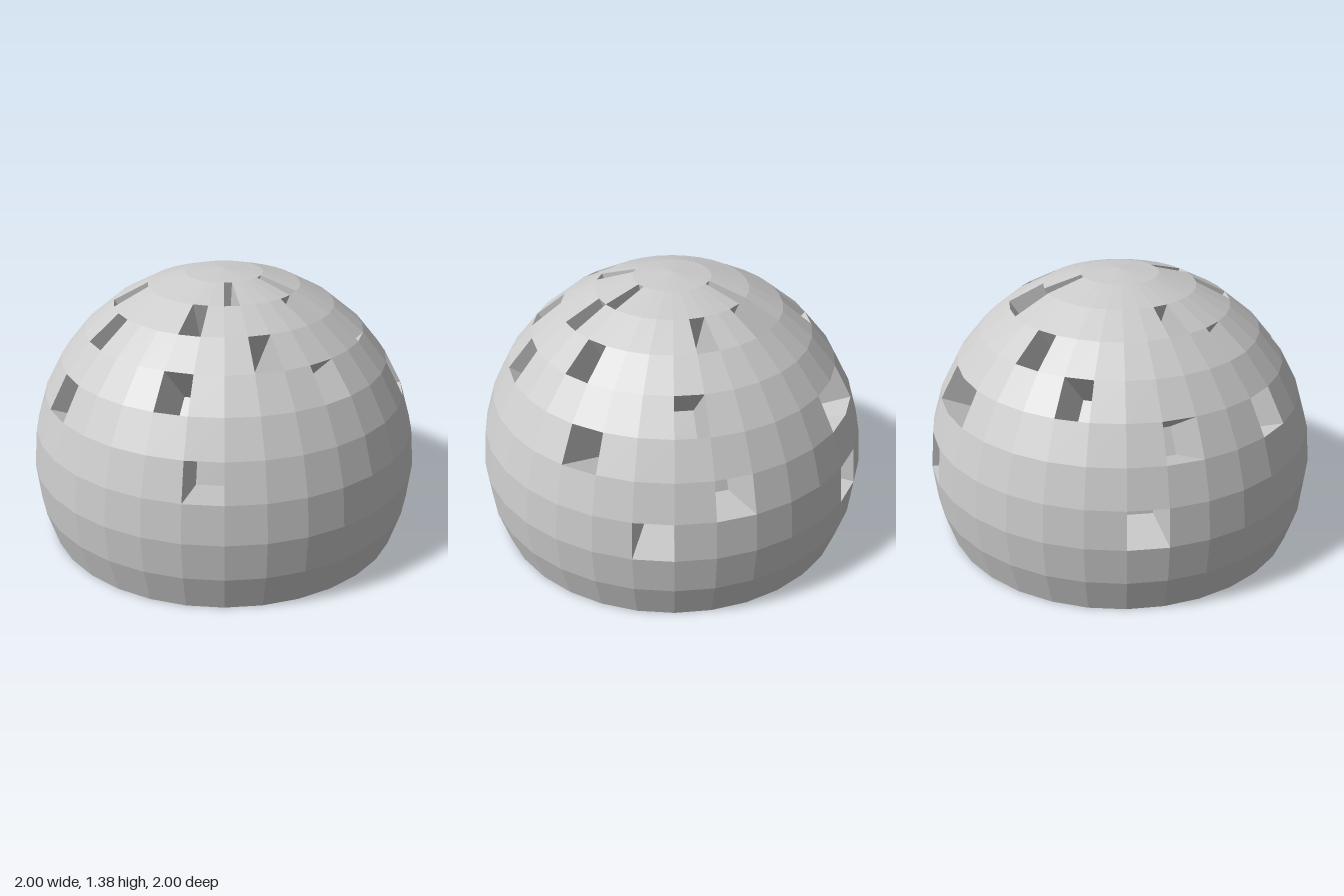
import * as THREE from 'three';

const STEP = Math.PI / 16;   // 32 columns around, 16 rings pole to pole
const COLUMNS = 32;
const RINGS = 10;            // the sphere is cut off below the tenth ring
const CENTRE_Y = Math.cos(6 * STEP);
const DEPTH_SCALE = 0.7;     // recess floors lie at 70% of the radius

// Recessed columns in each ring, counted from the front towards +x
const RECESSES = {
  1: [2, 7, 17],
  2: [0, 6, 13, 16, 17, 26],
  3: [3, 8, 20, 28],
  4: [0, 5, 12, 22],
  5: [9, 17, 18, 25, 28],
  6: [1, 13],
  7: [11, 17, 24],
};

const isRecessed = (ring, col) =>
  (RECESSES[ring] || []).includes((col + COLUMNS) % COLUMNS);

// Grid point on a sphere of the given radius
function point(ring, col, radius = 1) {
  const r = Math.sin(ring * STEP) * radius;
  return [
    r * Math.sin(col * STEP),
    CENTRE_Y + Math.cos(ring * STEP) * radius,
    r * Math.cos(col * STEP),
  ];
}

function addQuad(out, a, b, c, d) {
  out.push(...a, ...b, ...c, ...a, ...c, ...d);
}

function makeMesh(name, positions, material) {
  const geometry = new THREE.BufferGeometry();
  geometry.setAttribute('position', new THREE.Float32BufferAttribute(positions, 3));
  geometry.computeVertexNormals();
  const mesh = new THREE.Mesh(geometry, material);
  mesh.name = name;
  return mesh;
}

export function createModel() {
  const material = new THREE.MeshStandardMaterial({
    color: 0xcccccc, flatShading: true, side: THREE.DoubleSide,
  });
  const shell = [], floors = [], walls = [];

  for (let ring = 0; ring < RINGS; ring++) {
    for (let col = 0; col < COLUMNS; col++) {
      // Corners counter-clockwise from outside
      const corners = [[ring + 1, col], [ring + 1, col + 1], [ring, col + 1], [ring, col]];
      const outer = corners.map(([r, c]) => point(r, c));

      // Triangular fan at the crown
      if (ring === 0) {
        shell.push(...outer[0], ...outer[1], ...outer[2]);
        continue;
      }
      if (!isRecessed(ring, col)) {
        addQuad(shell, ...outer);
        continue;
      }

      // Sunken panel, with walls where the neighbour is not sunken too
      const inner = corners.map(([r, c]) => point(r, c, DEPTH_SCALE));
      addQuad(floors, ...inner);
      const neighbours = [[ring + 1, col], [ring, col + 1], [ring - 1, col], [ring, col - 1]];
      neighbours.forEach(([r, c], i) => {
        const n = (i + 1) % 4;
        if (!isRecessed(r, c)) addQuad(walls, outer[i], outer[n], inner[n], inner[i]);
      });
    }
  }

  const group = new THREE.Group();
  group.name = 'dome';
  group.add(
    makeMesh('domeShell', shell, material),
    makeMesh('recessFloors', floors, material),
    makeMesh('recessWalls', walls, material),
  );
  return group;
}
